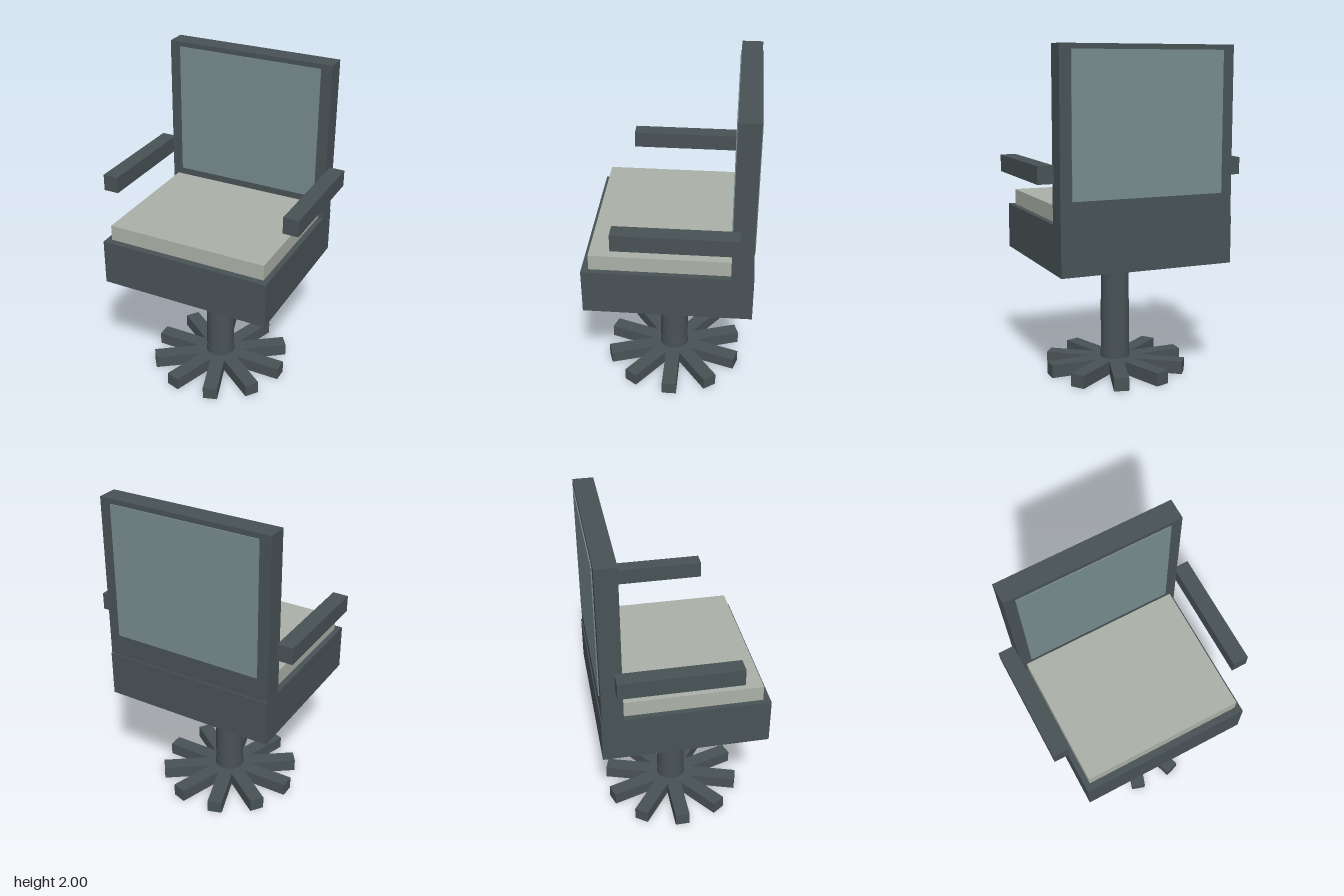
import * as THREE from 'three';

export function createModel() {
  const model = new THREE.Group();
  model.name = 'swivelChair';

  const material = (name, color) => {
    const m = new THREE.MeshStandardMaterial({ color });
    m.name = name;
    return m;
  };
  const frame = material('dark slate', 0x485256);
  const panel = material('grey teal', 0x778b8d);
  const fabric = material('pale sage', 0xabb1a7);

  const add = (name, geometry, mat, parent = model) => {
    const mesh = new THREE.Mesh(geometry, mat);
    mesh.name = name;
    parent.add(mesh);
    return mesh;
  };
  // Box given by its lower and upper limits on each axis
  const box = (name, mat, [x0, x1], [y0, y1], [z0, z1]) => {
    const mesh = add(name, new THREE.BoxGeometry(x1 - x0, y1 - y0, z1 - z0), mat);
    mesh.position.set((x0 + x1) / 2, (y0 + y1) / 2, (z0 + z1) / 2);
    return mesh;
  };

  // Star base: five crossing bars make ten spokes
  const base = new THREE.Group();
  base.name = 'starBase';
  model.add(base);
  for (let i = 0; i < 5; i++) {
    const bar = add('baseSpokes', new THREE.BoxGeometry(0.866, 0.08, 0.09), frame, base);
    bar.position.y = 0.04;
    bar.rotation.y = (i * Math.PI) / 5;
  }

  // Telescoping column
  const tube = (name, radius, y0, y1) => {
    const mesh = add(name, new THREE.CylinderGeometry(radius, radius, y1 - y0, 40), frame);
    mesh.position.y = (y0 + y1) / 2;
  };
  tube('columnCollar', 0.092, 0.07, 0.13);
  tube('lowerColumn', 0.089, 0.07, 0.44);
  tube('upperColumn', 0.086, 0.4, 0.73);

  // Seat and cushion
  box('seatBase', frame, [-0.53, 0.53], [0.73, 1.01], [-0.495, 0.495]);
  box('seatCushion', fabric, [-0.497, 0.497], [1.01, 1.105], [-0.364, 0.453]);

  // Backrest with a thin panel on each face
  box('backrest', frame, [-0.53, 0.53], [1.01, 2], [-0.488, -0.364]);
  box('backrestFrontPanel', panel, [-0.462, 0.462], [1.15, 1.97], [-0.364, -0.358]);
  box('backrestRearPanel', panel, [-0.462, 0.462], [1.15, 1.97], [-0.494, -0.488]);

  // Armrests
  for (const side of [-1, 1]) {
    const arm = box('armrest', frame, [0.537, 0.632], [1.243, 1.345], [-0.407, 0.302]);
    arm.name = side > 0 ? 'leftArmrest' : 'rightArmrest';
    arm.position.x *= side;
  }

  return model;
}
